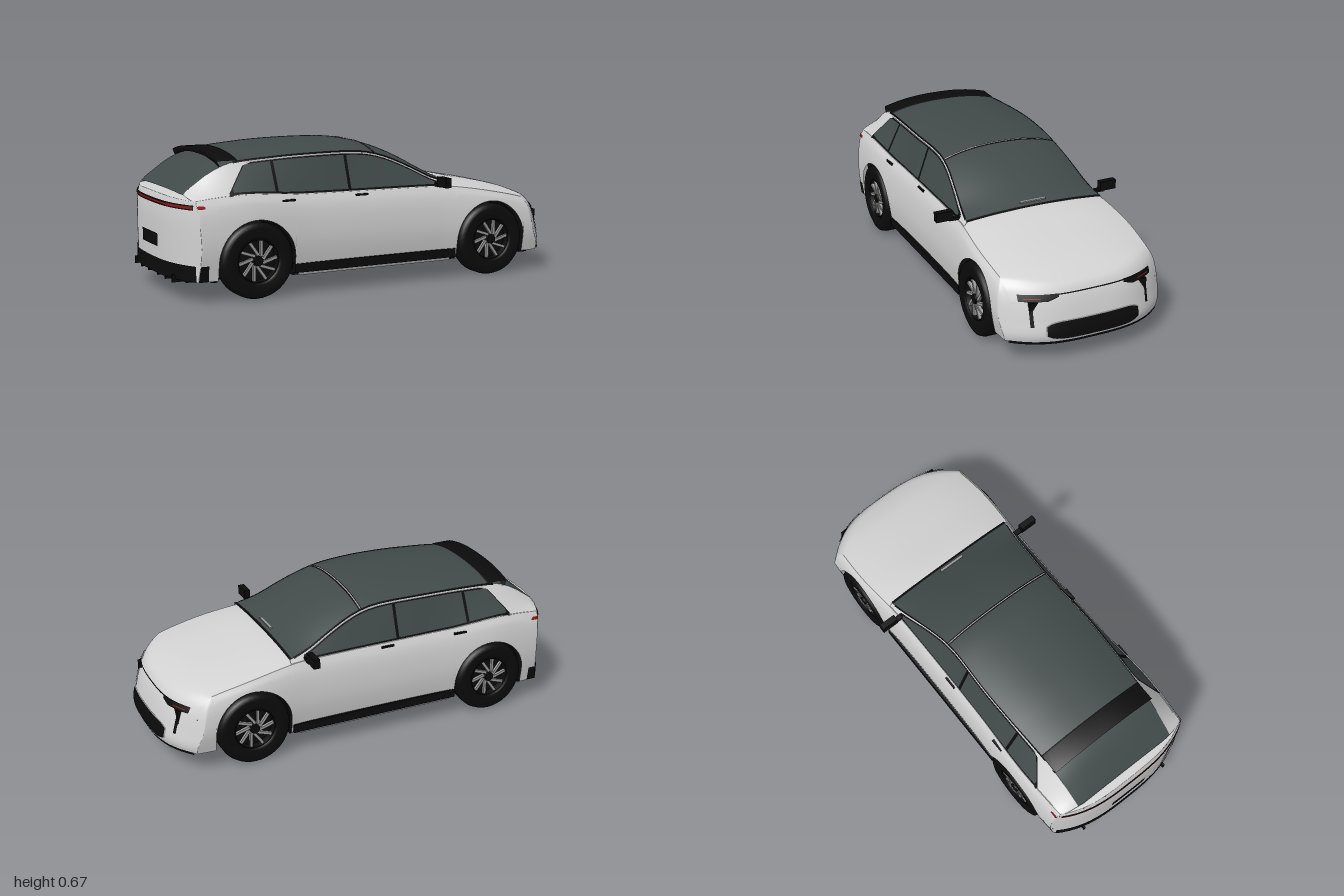
import * as THREE from 'three';

const mat = (name, color) => new THREE.MeshStandardMaterial({ name, color, side: THREE.DoubleSide });
const M = {
  paint: mat('light grey paint', 0xd2d2d2),
  glass: mat('dark grey glass', 0x414949),
  black: mat('black trim', 0x0b0b0b),
  metal: mat('silver metal', 0x9c9c9c),
  red: mat('red lamp', 0x8c1414),
};

// Smooth curve through a few [position, value] points
function curve(p) {
  const slope = (i) => {
    const a = p[Math.max(i - 1, 0)], b = p[Math.min(i + 1, p.length - 1)];
    return (b[1] - a[1]) / (b[0] - a[0]);
  };
  return (x) => {
    if (x <= p[0][0]) return p[0][1];
    if (x >= p[p.length - 1][0]) return p[p.length - 1][1];
    let i = 0;
    while (x > p[i + 1][0]) i++;
    const h = p[i + 1][0] - p[i][0], t = (x - p[i][0]) / h, t2 = t * t, t3 = t2 * t;
    return p[i][1] * (2 * t3 - 3 * t2 + 1) + p[i + 1][1] * (3 * t2 - 2 * t3)
      + h * (slope(i) * (t3 - 2 * t2 + t) + slope(i + 1) * (t3 - t2));
  };
}
const lerp = THREE.MathUtils.lerp;

// Body curves along x
const BASE = 0.1, AXLES = [-0.63, 0.6], ARCH = 0.186, HUB_Y = 0.176;
const halfW = curve([[-1, 0.39], [-0.8, 0.406], [-0.63, 0.412], [-0.3, 0.396], [0.3, 0.394], [0.6, 0.412], [0.8, 0.403], [1, 0.388]]);
const shoulderY = curve([[-1, 0.45], [-0.7, 0.475], [-0.4, 0.458], [0.3, 0.447], [0.4, 0.442], [0.6, 0.41], [0.8, 0.365], [0.9, 0.33], [1, 0.28]]);
const crownY = curve([[-1, 0.465], [-0.85, 0.475], [0.3, 0.46], [0.4, 0.475], [0.6, 0.442], [0.8, 0.4], [0.88, 0.37], [0.95, 0.33], [1, 0.3]]);
const section = curve([[0, 0.95], [0.4, 1], [0.7, 0.99], [0.9, 0.955], [1, 0.91]]);
const sideZ = (x, y) => halfW(x) * section((y - 0.08) / (shoulderY(x) - 0.08));
const shoulderZ = (x) => sideZ(x, shoulderY(x));
const topY = (x, z) => shoulderY(x) + (crownY(x) - shoulderY(x)) * (1 - Math.min(1, Math.abs(z) / shoulderZ(x)) ** 2.5);

// Rounded nose and tail faces
const nose = curve([[0.08, 0.985], [0.13, 1], [0.2, 0.986], [0.26, 0.97], [0.3, 0.955], [0.34, 0.93], [0.4, 0.86], [0.5, 0.8]]);
const tail = curve([[0.1, -0.99], [0.35, -0.993], [0.42, -0.988], [0.46, -0.98], [0.5, -0.95], [0.54, -0.93]]);
const frontX = (y, z) => nose(y) - 0.1 * (Math.abs(z) / 0.36) ** 3;
const rearX = (y, z) => tail(y) + 0.07 * (Math.abs(z) / 0.36) ** 3;
const fit = (x, y, z) => [Math.min(Math.max(x, rearX(y, z)), frontX(y, z)), y, z];

// Cabin curves along x
const roofY = curve([[-0.95, 0.475], [-0.9, 0.522], [-0.8, 0.6], [-0.7, 0.645], [-0.5, 0.668], [-0.3, 0.675], [-0.1, 0.672], [0, 0.66], [0.1, 0.632], [0.2, 0.59], [0.3, 0.535], [0.4, 0.474]]);
const roofDrop = curve([[-0.95, 0.004], [-0.85, 0.02], [-0.6, 0.04], [0, 0.042], [0.2, 0.05], [0.3, 0.045], [0.4, 0.015]]);
const edgeZ = curve([[-0.95, 0.275], [-0.7, 0.282], [-0.3, 0.296], [0, 0.288], [0.2, 0.312], [0.4, 0.346]]);
const edgeY = (x) => roofY(x) - roofDrop(x);
const roofAt = (x, z) => roofY(x) - roofDrop(x) * Math.min(1, Math.abs(z) / edgeZ(x)) ** 2.4;
const cabinZ = (x, y) => lerp(shoulderZ(x) - 0.003, edgeZ(x), (y - shoulderY(x)) / (edgeY(x) - shoulderY(x)));

export function createModel() {
  const car = new THREE.Group();
  car.name = 'car';
  const add = (name, geo, material, parent = car) => {
    const m = new THREE.Mesh(geo, material);
    m.name = name;
    parent.add(m);
    return m;
  };
  // Surface from fn(u, v) with u and v in 0..1; us may be a list of u values
  const surface = (name, material, fn, us, nv) => {
    const list = Array.isArray(us) ? us : Array.from({ length: us + 1 }, (_, i) => i / us);
    const pos = [], idx = [];
    list.forEach((u, i) => {
      for (let j = 0; j <= nv; j++) {
        pos.push(...fn(u, j / nv));
        if (i && j) {
          const a = i * (nv + 1) + j, b = a - nv - 1;
          idx.push(b - 1, a - 1, b, b, a - 1, a);
        }
      }
    });
    const g = new THREE.BufferGeometry();
    g.setAttribute('position', new THREE.Float32BufferAttribute(pos, 3));
    g.setIndex(idx);
    g.computeVertexNormals();
    return add(name, g, material);
  };
  const box = (name, material, size, at, parent) => {
    const m = add(name, new THREE.BoxGeometry(...size), material, parent);
    m.position.set(...at);
    return m;
  };

  // Body sides with open wheel arches, and the bonnet
  const stations = [];
  for (let i = 0; i <= 160; i++) stations.push(-1 + i / 80);
  for (const c of AXLES) {
    for (let i = 0; i <= 24; i++) stations.push(c - ARCH * Math.cos((i * Math.PI) / 24));
    stations.push(c - ARCH - 0.0005, c + ARCH + 0.0005);
  }
  stations.sort((a, b) => a - b);
  const bottom = (x) => {
    const c = AXLES.find((a) => Math.abs(x - a) <= ARCH + 1e-6);
    return c === undefined ? BASE : HUB_Y + Math.sqrt(Math.max(0, ARCH ** 2 - (x - c) ** 2));
  };
  for (const s of [1, -1]) {
    surface('bodySide', M.paint, (x, v) => {
      const y = lerp(bottom(x), shoulderY(x), v);
      return fit(x, y, s * sideZ(x, y));
    }, stations, 14);
  }
  surface('bonnetAndDeck', M.paint, (x, v) => {
    const z = (v * 2 - 1) * shoulderZ(x);
    return fit(x, topY(x, z), z);
  }, stations, 28);
  for (const [name, end, face] of [['nosePanel', 1, frontX], ['tailPanel', -1, rearX]]) {
    surface(name, M.paint, (u, v) => {
      const z = (u * 2 - 1) * sideZ(end, lerp(BASE, shoulderY(end), v));
      const y = lerp(BASE, topY(end, z), v);
      return [face(y, z), y, z];
    }, 30, 16);
    surface('endFloor', M.black, (u, v) => {
      const z = (u * 2 - 1) * sideZ(end, BASE);
      return [lerp(end * 0.82, face(BASE, z), v), BASE, z];
    }, 24, 2);
  }

  // Underbody with wheel wells
  const under = new THREE.Shape();
  under.moveTo(0.83, 0.09);
  under.lineTo(0.83, 0.3).lineTo(0.6, 0.385).lineTo(-0.84, 0.385).lineTo(-0.84, 0.09);
  for (const c of AXLES) {
    under.lineTo(c - ARCH + 0.002, 0.09);
    under.absarc(c, HUB_Y, ARCH - 0.002, Math.PI, 0, true);
    under.lineTo(c + ARCH - 0.002, 0.09);
  }
  const underGeo = new THREE.ExtrudeGeometry(under, { depth: 0.736, bevelEnabled: false, curveSegments: 20 });
  add('underbody', underGeo.translate(0, 0, -0.368), M.black);
  box('floorPan', M.black, [1.86, 0.2, 0.58], [0, 0.185, 0]);

  // Cabin shell: dark roof, windscreen and rear glass over painted pillars
  surface('roofAndScreens', M.glass, (u, v) => {
    const x = lerp(-0.94, 0.4, u), z = (v * 2 - 1) * edgeZ(x);
    return fit(x, roofAt(x, z), z);
  }, 70, 20);
  const roofBand = (name, material, x0, x1, lift) => surface(name, material, (u, v) => {
    const x = lerp(x0, x1, u), z = (v * 2 - 1) * edgeZ(x);
    return [x, roofAt(x, z) + lift, z];
  }, 2, 20);
  roofBand('windscreenSeam', M.black, 0.01, 0.026, 0.002);
  roofBand('windscreenTrim', M.metal, 0.015, 0.02, 0.004);
  roofBand('cowl', M.black, 0.392, 0.404, 0.004);
  box('wiper', M.metal, [0.012, 0.006, 0.13], [0.375, 0.494, 0]);

  // Side windows lie in the cabin side
  const winTop = (x) => Math.min(edgeY(x) - 0.016, 0.49 + (x + 0.74) * 1.25);
  const winLow = (x) => Math.min(shoulderY(x) + 0.012, winTop(x));
  for (const s of [1, -1]) {
    const sidePatch = (name, material, x0, x1, low, high, lift) => surface(name, material, (u, v) => {
      const x = lerp(x0, x1, u), y = lerp(low(x), high(x), v);
      return [x, y, s * (cabinZ(x, y) + lift)];
    }, 24, 3);
    surface('cabinSide', M.paint, (u, v) => {
      const x = lerp(-0.94, 0.4, u), y = lerp(shoulderY(x) - 0.004, edgeY(x), v);
      return fit(x, y, s * cabinZ(x, y));
    }, 60, 4);
    sidePatch('windowFrame', M.black, -0.75, 0.33, (x) => winLow(x) - 0.009, (x) => winTop(x) + 0.006, 0.003);
    for (const [x0, x1] of [[-0.73, -0.527], [-0.512, -0.155], [-0.14, 0.31]]) {
      sidePatch('sideWindow', M.glass, x0, x1, winLow, winTop, 0.006);
    }
    sidePatch('windowTrim', M.metal, -0.64, 0.3, (x) => winTop(x) + 0.006, (x) => winTop(x) + 0.01, 0.005);
    sidePatch('roofEdge', M.black, -0.7, 0.38, (x) => edgeY(x) - 0.004, (x) => edgeY(x) + 0.003, 0.002);

    // Door mirror, handles and sill
    box('mirror', M.black, [0.03, 0.046, 0.084], [0.318, 0.474, s * 0.425]);
    box('mirrorStalk', M.black, [0.024, 0.014, 0.06], [0.32, 0.454, s * 0.372]);
    for (const x of [-0.47, -0.09]) box('doorHandle', M.black, [0.065, 0.009, 0.012], [x, 0.436, s * sideZ(x, 0.436)]);
    box('sill', M.black, [0.85, 0.042, 0.03], [-0.02, 0.124, s * 0.379]);
    box('sillEdge', M.metal, [0.8, 0.012, 0.03], [-0.02, 0.095, s * 0.365]);
  }

  // Spoiler: a closed profile swept across the roof
  const profile = [[-0.67, 0.001], [-0.68, 0.006], [-0.775, 0.006], [-0.765, -0.02], [-0.68, -0.025], [-0.67, 0.001]];
  surface('spoiler', M.black, (u, v) => {
    const [x, dy] = profile[Math.round(u * 5)], z = (v * 2 - 1) * 0.284;
    return [x, roofAt(-0.68, z) + dy, z];
  }, 5, 16);

  // Thin plates on the nose and tail
  const facePatch = (name, material, face, lift, z0, z1, low, high) => surface(name, material, (u, v) => {
    const z = lerp(z0, z1, u), y = lerp(low(z), high(z), v);
    return [face(y, z) + lift, y, z];
  }, 24, 3);
  const k = (c) => () => c;
  facePatch('noseLine', M.black, frontX, 0.004, -0.17, 0.17, k(0.308), k(0.313));
  const grille = (pad) => [(z) => 0.117 - pad + 0.03 * (Math.abs(z) / 0.24) ** 8, (z) => 0.196 + pad - 0.03 * (Math.abs(z) / 0.24) ** 8];
  facePatch('grilleSurround', M.metal, frontX, 0.003, -0.231, 0.231, ...grille(0.004));
  facePatch('grille', M.black, frontX, 0.006, -0.226, 0.226, ...grille(0));
  facePatch('frontLip', M.black, frontX, 0.004, -0.37, 0.37, k(0.092), k(0.106));
  facePatch('rearBumper', M.black, rearX, -0.005, -0.375, 0.375, k(0.1), k(0.172));
  facePatch('plateRecess', M.black, rearX, -0.004, -0.1, 0.1, k(0.225), k(0.285));
  facePatch('tailLampFrame', M.black, rearX, -0.003, -0.36, 0.36, k(0.419), k(0.441));
  facePatch('tailLamp', M.red, rearX, -0.006, -0.36, 0.36, k(0.425), k(0.436));
  for (const s of [1, -1]) {
    facePatch('headlamp', M.black, frontX, 0.006, s * 0.16, s * 0.328, (z) => 0.302 - 0.016 * Math.min(1, (Math.abs(z) - 0.16) / 0.05), k(0.315));
    facePatch('headlampAccent', M.red, frontX, 0.009, s * 0.24, s * 0.31, k(0.297), k(0.301));
    facePatch('airSlit', M.black, frontX, 0.005, s * 0.277, s * 0.292, k(0.175), k(0.263));
    for (const [name, m, low, high, x1] of [['tailLampSide', M.red, 0.424, 0.438, -0.87], ['bumperSide', M.black, 0.1, 0.172, -0.86]]) {
      surface(name, m, (u, v) => {
        const y = lerp(low, high, v), z = sideZ(-0.9, y) + 0.003;
        return [lerp(rearX(y, z) - 0.003, x1, u), y, s * z];
      }, 3, 2);
    }
    for (const z of [0.06, 0.16, 0.25]) box('diffuserFin', M.black, [0.1, 0.035, 0.01], [-0.935, 0.103, s * z]);
  }

  // Wheels
  const lathe = (pts) => new THREE.LatheGeometry(pts.map((p) => new THREE.Vector2(...p)), 40).rotateX(Math.PI / 2);
  const tyreGeo = lathe([[0.1, -0.045], [0.11, -0.054], [0.15, -0.056], [0.168, -0.048], [0.175, -0.028], [0.175, 0.028], [0.168, 0.048], [0.15, 0.056], [0.11, 0.054], [0.1, 0.045]]);
  const rimGeo = lathe([[0.088, -0.02], [0.1, -0.046], [0.1, 0.046], [0.094, 0.046], [0.094, 0.012]]);
  const discGeo = new THREE.CylinderGeometry(0.098, 0.098, 0.012, 32).rotateX(Math.PI / 2);
  const hubGeo = new THREE.CylinderGeometry(0.022, 0.026, 0.04, 20).rotateX(Math.PI / 2);
  for (const x of AXLES) for (const s of [1, -1]) {
    const wheel = new THREE.Group();
    wheel.name = 'wheel';
    wheel.position.set(x, HUB_Y, s * 0.356);
    wheel.rotation.y = s > 0 ? 0 : Math.PI;
    car.add(wheel);
    add('tyre', tyreGeo, M.black, wheel);
    add('rim', rimGeo, M.black, wheel);
    add('brakeDisc', discGeo, M.black, wheel).position.z = 0.008;
    add('innerDisc', discGeo, M.metal, wheel).position.z = -0.008;
    add('hub', hubGeo, M.black, wheel).position.z = 0.03;
    for (let i = 0; i < 10; i++) {
      const a = (i * Math.PI) / 5;
      const spoke = box('spoke', M.metal, [0.072, 0.013, 0.014], [0.058 * Math.cos(a), 0.058 * Math.sin(a), 0.036], wheel);
      spoke.rotation.z = a + 0.3;
    }
  }
  return car;
}
